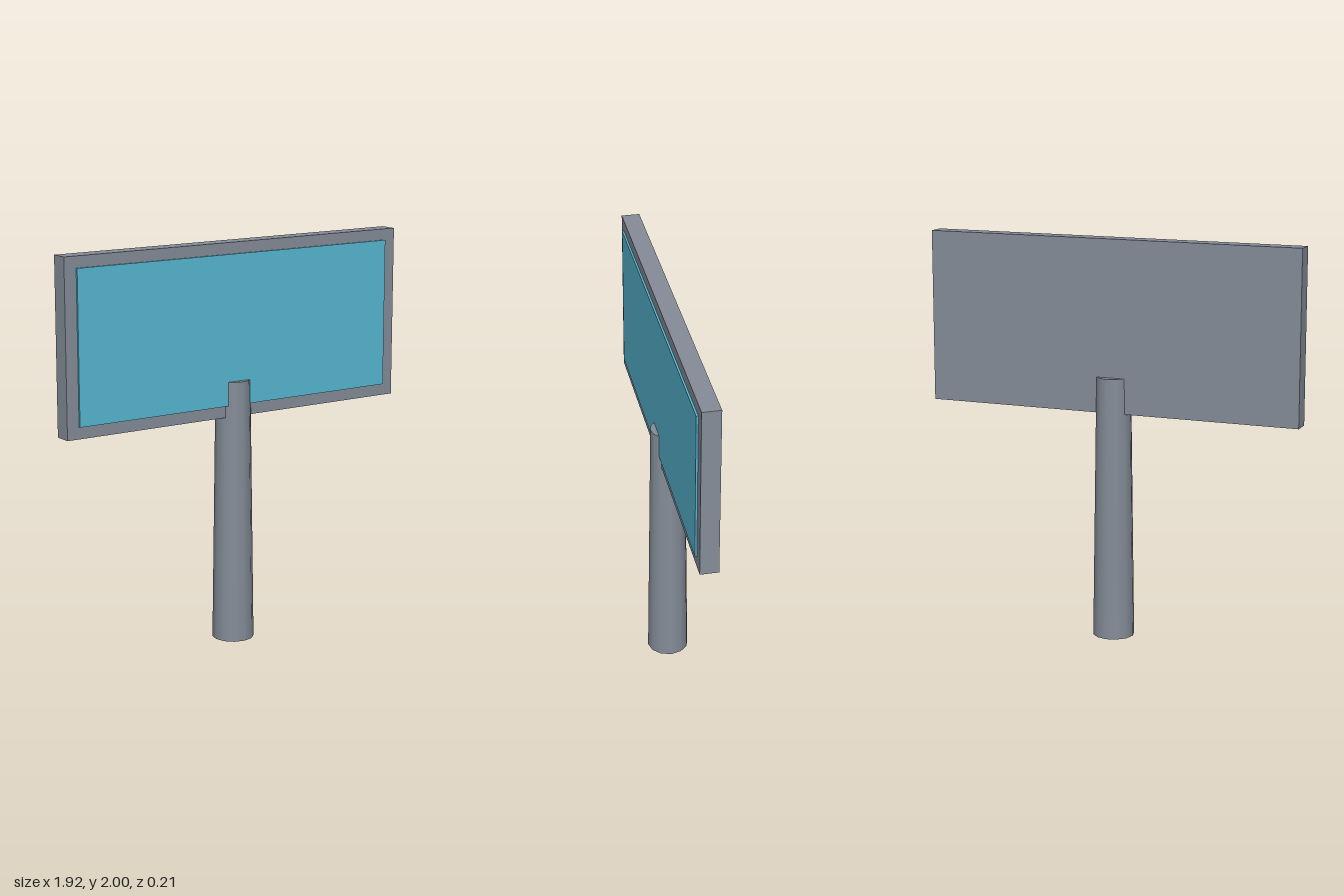
import * as THREE from 'three';

export function createModel() {
  const model = new THREE.Group();
  model.name = 'signboard';

  const metal = new THREE.MeshStandardMaterial({ color: 0x858d98 });
  metal.name = 'grey metal';
  const blue = new THREE.MeshStandardMaterial({ color: 0x58b8d2 });
  blue.name = 'light blue';

  const add = (name, geometry, material, y, z = 0) => {
    const mesh = new THREE.Mesh(geometry, material);
    mesh.name = name;
    mesh.position.set(0, y, z);
    model.add(mesh);
  };

  // Tapered post, reaching up into the board
  add('post', new THREE.CylinderGeometry(0.086, 0.104, 1.32, 12), metal, 0.66);

  // Board
  add('board', new THREE.BoxGeometry(1.92, 0.857, 0.09), metal, 1.5715);

  // Thin display face on the front of the board
  add('displayFace', new THREE.BoxGeometry(1.795, 0.743, 0.0095), blue, 1.5725, 0.05);

  return model;
}
